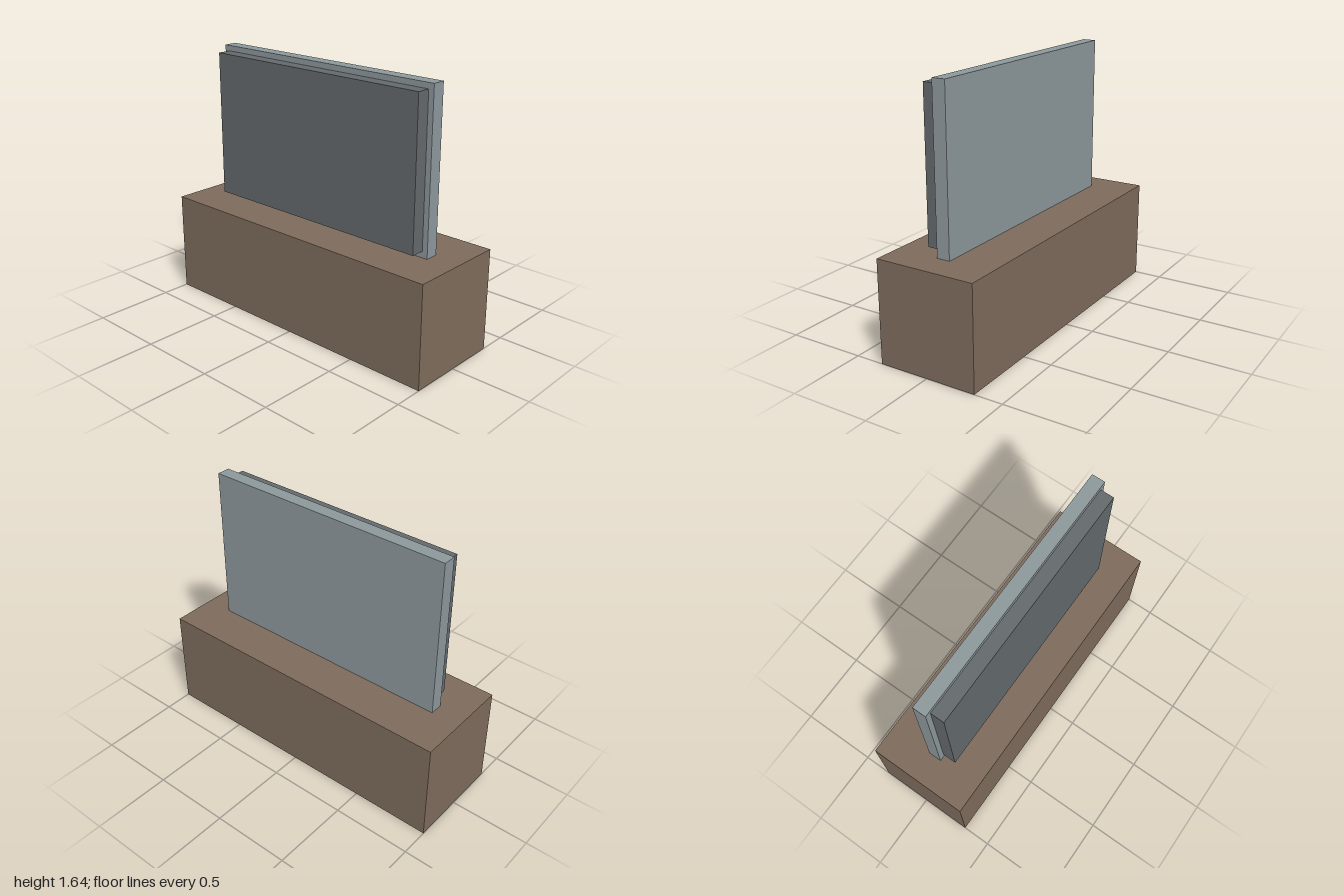
import * as THREE from 'three';

const material = (name, color) => {
  const m = new THREE.MeshStandardMaterial({ color });
  m.name = name;
  return m;
};

export function createModel() {
  const model = new THREE.Group();
  model.name = 'screenOnStand';
  const brown = material('brown', 0x7e6c5c);
  const paleGrey = material('paleGrey', 0x8d989c);
  const darkGrey = material('darkGrey', 0x64696c);

  // Box from its size, bottom height and centre depth
  const box = (name, mat, [w, h, d], bottom, z) => {
    const mesh = new THREE.Mesh(new THREE.BoxGeometry(w, h, d), mat);
    mesh.name = name;
    mesh.position.set(0, bottom + h / 2, z);
    model.add(mesh);
  };

  // Solid plinth
  box('base', brown, [2, 0.643, 0.64], 0, 0);
  // Upright backing board
  box('backPanel', paleGrey, [1.64, 1, 0.084], 0.643, 0);
  // Inset slab on the front of the board
  box('screen', darkGrey, [1.57, 0.927, 0.086], 0.681, 0.085);

  return model;
}
